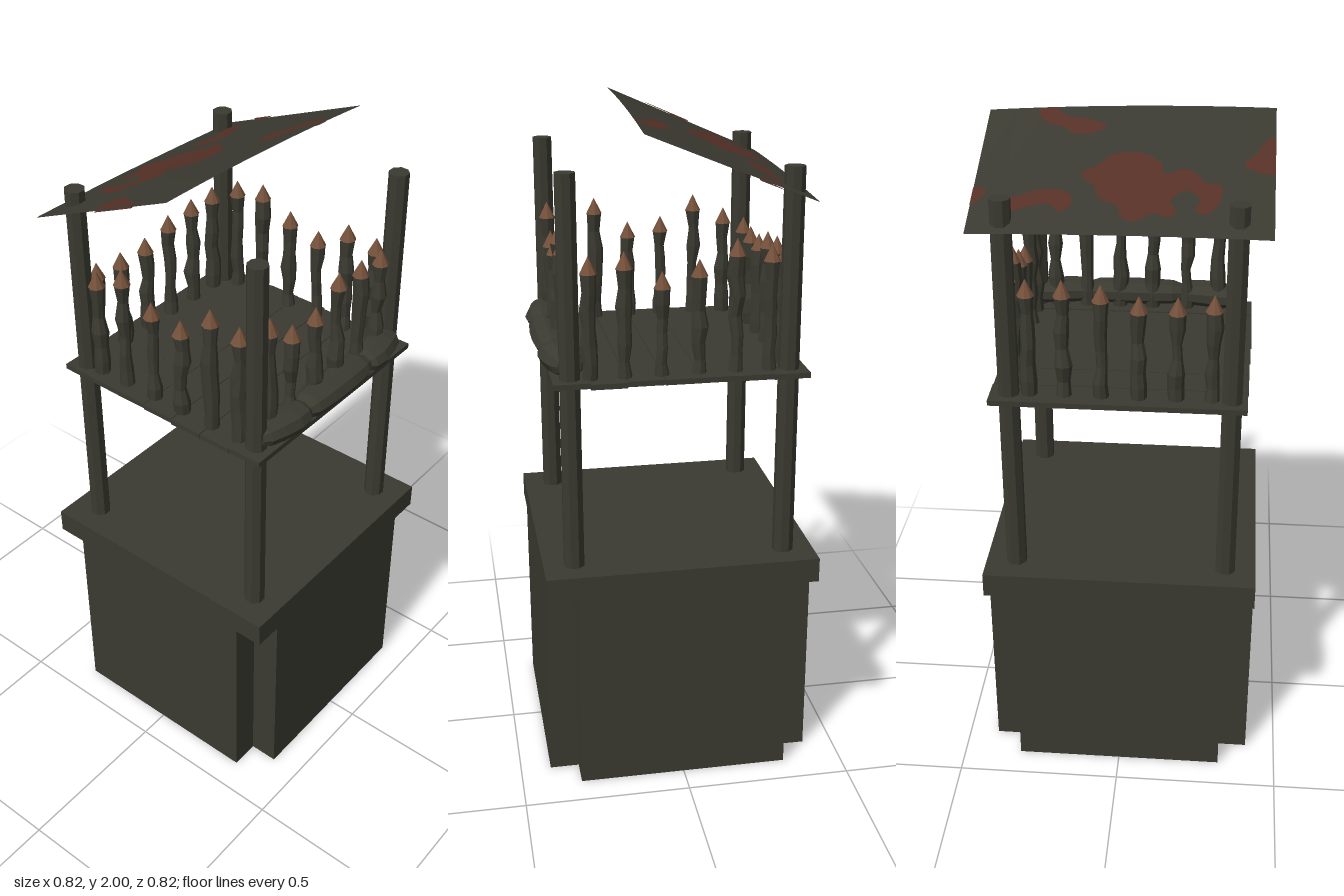
import * as THREE from 'three';

const weathered = new THREE.MeshStandardMaterial({ color: 0x3a3a31, side: THREE.DoubleSide });
weathered.name = 'weatheredWood';
const rust = new THREE.MeshStandardMaterial({ color: 0x553026, side: THREE.DoubleSide });
rust.name = 'rust';
const freshWood = new THREE.MeshStandardMaterial({ color: 0x75513b });
freshWood.name = 'freshCutWood';

// Small seeded generator for hand-made irregularity
let seed = 7;
const rand = (a, b) => {
  seed = (seed * 16807) % 2147483647;
  return a + (b - a) * (seed / 2147483647);
};

// Faceted mesh: every face gets its own normal
function part(name, geometry, material, x = 0, y = 0, z = 0) {
  const g = geometry.index ? geometry.toNonIndexed() : geometry;
  g.computeVertexNormals();
  const mesh = new THREE.Mesh(g, material);
  mesh.name = name;
  mesh.position.set(x, y, z);
  return mesh;
}

function bend(geometry, rule) {
  const p = geometry.attributes.position;
  const v = new THREE.Vector3();
  for (let i = 0; i < p.count; i++) {
    rule(v.fromBufferAttribute(p, i));
    p.setXYZ(i, v.x, v.y, v.z);
  }
  return geometry;
}

// Closed smooth outline through a few [x, z] points, laid flat by a height rule
function stain(name, points, height) {
  const curve = new THREE.CatmullRomCurve3(
    points.map(([x, z]) => new THREE.Vector3(x, z, 0)), true);
  const outline = curve.getPoints(points.length * 3).slice(0, -1)
    .map(v => new THREE.Vector2(THREE.MathUtils.clamp(v.x, -0.41, 0.41), v.y));
  const g = bend(new THREE.ShapeGeometry(new THREE.Shape(outline)),
    v => v.set(v.x, height(v.x, v.y), v.y));
  return part(name, g, rust);
}

// Hollow plinth with notched corners, under a square slab
function makeBase() {
  const base = new THREE.Group();
  base.name = 'base';
  const a = 0.408, b = 0.32, h = 0.25;
  const plan = new THREE.Shape([
    [b, -a], [b, -b], [a, -b], [a, b], [b, b], [b, a],
    [-b, a], [-b, b], [-a, b], [-a, -b], [-b, -b], [-b, -a],
  ].map(([x, y]) => new THREE.Vector2(x, y)));
  plan.holes.push(new THREE.Path([[-h, -h], [-h, h], [h, h], [h, -h]]
    .map(([x, y]) => new THREE.Vector2(x, y))));
  const walls = new THREE.ExtrudeGeometry(plan, { depth: 0.625, bevelEnabled: false });
  walls.rotateX(-Math.PI / 2);
  base.add(part('plinth', walls, weathered));
  base.add(part('slab', new THREE.BoxGeometry(0.82, 0.075, 0.82), weathered, 0, 0.6625, 0));
  return base;
}

// Uneven sharpened stake: rings of varying radius, then a pale cut point
function makeStake(x, z, top) {
  const stake = new THREE.Group();
  stake.name = 'stake';
  const bottom = 1.27, tip = 0.05, h = top - tip - bottom, rings = 6;
  const radii = [], dx = [], dz = [];
  for (let i = 0; i <= rings; i++) {
    const end = i === 0 || i === rings;
    radii.push(end ? 0.023 : rand(0.014, 0.026));
    dx.push(end ? 0 : rand(-0.004, 0.004));
    dz.push(end ? 0 : rand(-0.004, 0.004));
  }
  const g = bend(new THREE.CylinderGeometry(1, 1, h, 8, rings), v => {
    const i = Math.round((v.y / h + 0.5) * rings);
    v.x = v.x * radii[i] + dx[i];
    v.z = v.z * radii[i] + dz[i];
  });
  stake.add(part('stakeShaft', g, weathered, 0, bottom + h / 2, 0));
  stake.add(part('stakePoint', new THREE.ConeGeometry(0.025, tip, 8), freshWood, 0, top - tip / 2, 0));
  stake.position.set(x, 0, z);
  return stake;
}

// Stakes along all four edges of the deck
function makePalisade() {
  const fence = new THREE.Group();
  fence.name = 'palisade';
  const at = [-0.26, -0.16, -0.053, 0.053, 0.16, 0.26];
  const front = [1.67, 1.6, 1.6, 1.66, 1.65, 1.64];
  const back = [1.6, 1.59, 1.59, 1.62, 1.63, 1.63];
  const rightSide = [1.645, 1.665, 1.61, 1.58, 1.64, 1.63];
  const leftSide = [1.62, 1.665, 1.6, 1.585, 1.665, 1.65];
  at.forEach((t, i) => {
    fence.add(makeStake(t, 0.315, front[i]), makeStake(t, -0.315, back[i]));
    fence.add(makeStake(0.318, t, rightSide[i]), makeStake(-0.318, t, leftSide[i]));
  });
  return fence;
}

// Plank deck with ragged ends and rust marks beneath
function makeDeck() {
  const deck = new THREE.Group();
  deck.name = 'deck';
  const n = 7, w = 0.74 / n;
  for (let i = 0; i < n; i++) {
    const l = -rand(0.362, 0.374), r = rand(0.362, 0.374);
    deck.add(part('plank', new THREE.BoxGeometry(r - l, 0.016, w - 0.001), weathered,
      (l + r) / 2, 1.27 + rand(-0.002, 0.002), -0.37 + w * (i + 0.5)));
  }
  for (const [x, z, a, b] of [[-0.015, 0.235, 0.05, 0.025], [-0.13, 0.33, 0.04, 0.02], [0.33, 0.1, 0.02, 0.03]]) {
    const ring = [[1, 0], [0.6, 0.9], [-0.4, 0.7], [-1, 0.1], [-0.5, -0.8], [0.5, -0.6]];
    deck.add(stain('deckRust', ring.map(([u, v]) => [x + a * u, z + b * v]), () => 1.258));
  }
  return deck;
}

// Three lumpy bags end to end along the front edge
function makeBags() {
  const bags = new THREE.Group();
  bags.name = 'frontBags';
  for (const [l, r] of [[-0.325, -0.14], [-0.145, 0.155], [0.15, 0.325]]) {
    const len = r - l, mid = (l + r) / 2;
    const profile = [[0, -0.5], [0.65, -0.5], [0.9, -0.4], [1, -0.15], [1, 0.15], [0.9, 0.4], [0.65, 0.5], [0, 0.5]]
      .map(([x, y]) => new THREE.Vector2(x, y * len));
    const g = new THREE.LatheGeometry(profile, 9);
    g.rotateZ(-Math.PI / 2);
    bend(g, v => {
      v.y *= 0.04;
      v.z = v.z * 0.056 - 0.2 * Math.max(0, Math.abs(v.x + mid) - 0.2);
    });
    bags.add(part('bag', g, weathered, mid, 1.318, 0.343));
  }
  return bags;
}

// Warped sheet roof, high at the front, sagging towards one side
function roofHeight(x, z) {
  const s = (x + 0.41) / 0.82, t = (0.11 - z) / 0.485;
  const sag = s * s;
  return THREE.MathUtils.lerp(2 - 0.035 * sag, 1.79 - 0.02 * sag, t);
}

function makeRoof() {
  const roof = new THREE.Group();
  roof.name = 'roof';
  const sheet = new THREE.PlaneGeometry(0.82, 0.483, 10, 2);
  sheet.rotateX(-Math.PI / 2);
  bend(sheet, v => {
    v.z += -0.132 + 0.008 * v.x / 0.41;
    v.y = roofHeight(v.x, v.z);
  });
  roof.add(part('roofSheet', sheet, weathered));
  const stains = [
    [[-0.26, -0.27], [-0.22, -0.305], [-0.2, -0.29], [-0.21, -0.25], [-0.17, -0.22], [-0.13, -0.26],
      [-0.15, -0.29], [-0.13, -0.315], [-0.09, -0.3], [-0.04, -0.33], [0, -0.31], [0.01, -0.275],
      [0.06, -0.25], [0.08, -0.2], [0.12, -0.16], [0.07, -0.12], [0.04, -0.088], [-0.04, -0.08],
      [-0.1, -0.12], [-0.11, -0.16], [-0.16, -0.14], [-0.2, -0.16], [-0.22, -0.19], [-0.265, -0.2]],
    [[0.135, -0.27], [0.16, -0.295], [0.2, -0.265], [0.26, -0.28], [0.31, -0.295], [0.327, -0.26],
      [0.28, -0.235], [0.23, -0.215], [0.17, -0.215], [0.14, -0.235]],
    [[-0.41, -0.155], [-0.36, -0.15], [-0.325, -0.12], [-0.36, -0.08], [-0.38, -0.035], [-0.41, -0.02]],
    [[0.065, 0.02], [0.1, 0], [0.15, -0.003], [0.18, 0.02], [0.24, 0.05], [0.268, 0.098],
      [0.22, 0.107], [0.18, 0.07], [0.12, 0.055], [0.08, 0.038]],
    [[0.372, -0.21], [0.39, -0.25], [0.41, -0.265], [0.41, -0.2]],
  ];
  for (const points of stains)
    for (const lift of [0.004, -0.004])
      roof.add(stain('roofRust', points, (x, z) => roofHeight(x, z) + lift));
  return roof;
}

export function createModel() {
  const model = new THREE.Group();
  model.name = 'watchtower';
  model.add(makeBase());
  // Corner posts
  for (const x of [-0.318, 0.318])
    for (const z of [-0.318, 0.318]) {
      const g = new THREE.CylinderGeometry(0.03, 0.032, 1.26, 8);
      g.rotateY(Math.PI / 8);
      model.add(part('cornerPost', g, weathered, x, 1.23, z));
    }
  model.add(makeDeck(), makeBags(), makePalisade(), makeRoof());
  return model;
}
